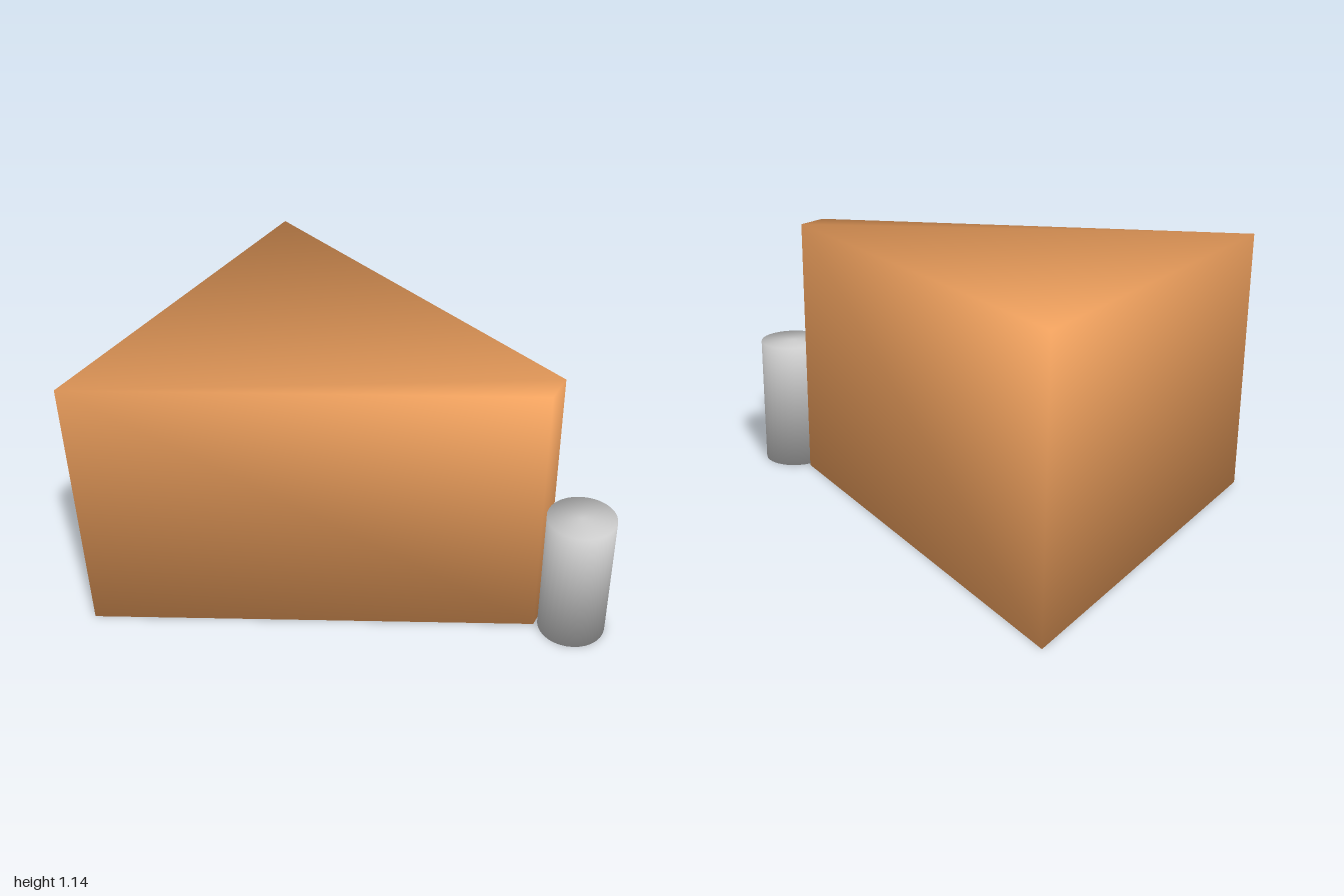
import * as THREE from 'three';
import { mergeVertices } from 'three/addons/utils/BufferGeometryUtils.js';

// Weld all corners and shade them smoothly, weighting each face by its corner angle.
function smooth(source) {
  source.deleteAttribute('normal');
  source.deleteAttribute('uv');
  source.clearGroups();
  const geometry = mergeVertices(source, 1e-4);
  const pos = geometry.attributes.position;
  const index = geometry.index;
  const normals = Array.from({ length: pos.count }, () => new THREE.Vector3());
  for (let f = 0; f < index.count; f += 3) {
    const ids = [0, 1, 2].map((k) => index.getX(f + k));
    const p = ids.map((i) => new THREE.Vector3().fromBufferAttribute(pos, i));
    const faceNormal = new THREE.Triangle(...p).getNormal(new THREE.Vector3());
    ids.forEach((id, k) => {
      const a = p[(k + 1) % 3].clone().sub(p[k]);
      const b = p[(k + 2) % 3].clone().sub(p[k]);
      normals[id].addScaledVector(faceNormal, a.angleTo(b));
    });
  }
  const flat = normals.flatMap((n) => n.normalize().toArray());
  geometry.setAttribute('normal', new THREE.Float32BufferAttribute(flat, 3));
  return geometry;
}

export function createModel() {
  const group = new THREE.Group();

  // Upright wedge block, wide at -x and almost pointed at +x
  const outline = new THREE.Shape([
    new THREE.Vector2(-1, -0.865),
    new THREE.Vector2(0.714, -0.072),
    new THREE.Vector2(0.714, 0.072),
    new THREE.Vector2(-1, 0.865),
  ]);
  const wedgeGeometry = new THREE.ExtrudeGeometry(outline, { depth: 1.145, bevelEnabled: false });
  wedgeGeometry.rotateX(-Math.PI / 2);
  const wedge = new THREE.Mesh(
    smooth(wedgeGeometry),
    new THREE.MeshStandardMaterial({ color: 0xf4a460 })
  );
  wedge.name = 'wedgeBlock';
  group.add(wedge);

  // Short round post touching the narrow end
  const post = new THREE.Mesh(
    smooth(new THREE.CylinderGeometry(0.143, 0.143, 0.573, 32)),
    new THREE.MeshStandardMaterial({ color: 0xcccccc })
  );
  post.name = 'post';
  post.position.set(0.857, 0.2865, 0);
  group.add(post);

  return group;
}
